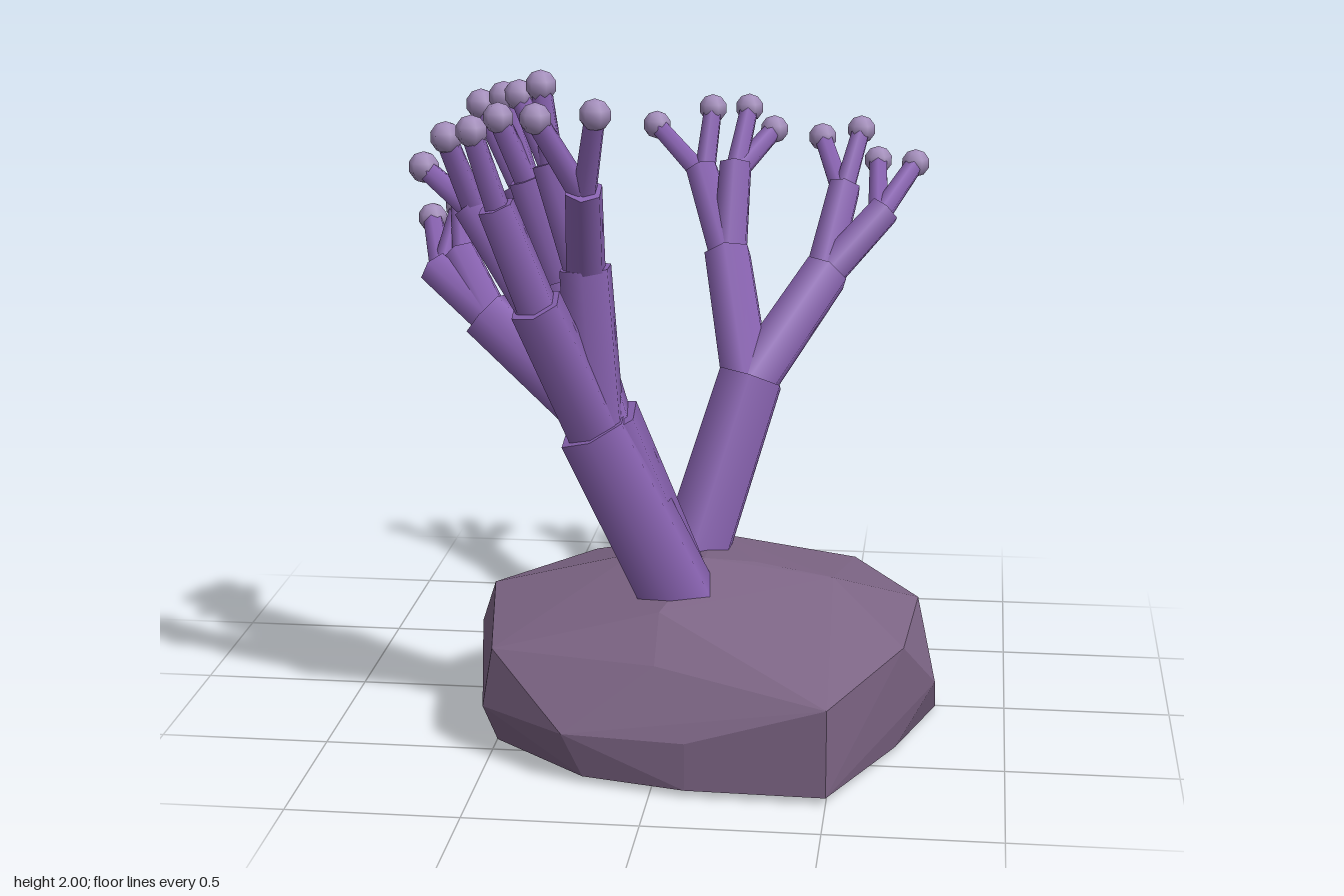
import * as THREE from 'three';
import { ConvexGeometry } from 'three/addons/geometries/ConvexGeometry.js';

const material = (name, color) => {
  const m = new THREE.MeshStandardMaterial({ color });
  m.name = name;
  return m;
};
const UP = new THREE.Vector3(0, 1, 0);
const V = (p) => new THREE.Vector3(...p);

// Limb radii [bottom, top] for each level of branching
const RADII = [[0.116, 0.11], [0.084, 0.079], [0.06, 0.055], [0.036, 0.031]];
const NAMES = ['trunk', 'branch', 'subBranch', 'twig'];

// Each node is [end point, child, child...]; a node without children is a tip.
const CORALS = [
  { name: 'backCoral', base: [0.03, 0.42, 0.07], tree: [[0.2, 0.985, -0.15],
    [[0.41, 1.26, -0.43],
      [[0.455, 1.5, -0.62], [[0.375, 1.635, -0.765]], [[0.5, 1.665, -0.745]]],
      [[0.585, 1.44, -0.55], [[0.555, 1.565, -0.76]], [[0.675, 1.56, -0.74]]]],
    [[0.1, 1.31, -0.44],
      [[0.0, 1.55, -0.61], [[-0.155, 1.675, -0.705]], [[0.025, 1.73, -0.715]]],
      [[0.11, 1.57, -0.59], [[0.14, 1.73, -0.74]], [[0.22, 1.66, -0.75]]]]] },
  { name: 'middleCoral', base: [0.02, 0.42, 0.26], tree: [[-0.175, 0.995, 0.41],
    [[-0.53, 1.28, 0.33],
      [[-0.7, 1.38, 0.2], [[-0.75, 1.49, -0.015]], [[-0.66, 1.53, 0.015]]],
      [[-0.63, 1.42, 0.18], [[-0.665, 1.585, -0.02]], [[-0.605, 1.55, 0.0]]]],
    [[-0.3, 1.38, 0.33],
      [[-0.43, 1.65, 0.28], [[-0.53, 1.86, 0.2]], [[-0.54, 1.88, 0.28]]],
      [[-0.4, 1.68, 0.35], [[-0.465, 1.91, 0.33]], [[-0.47, 1.86, 0.4]]]]] },
  { name: 'frontCoral', base: [0.05, 0.42, 0.355], tree: [[-0.2, 0.975, 0.44],
    [[-0.34, 1.365, 0.58],
      [[-0.53, 1.63, 0.51], [[-0.675, 1.725, 0.45]], [[-0.58, 1.835, 0.6]]],
      [[-0.44, 1.65, 0.62], [[-0.495, 1.865, 0.67]]]],
    [[-0.22, 1.445, 0.44],
      [[-0.2, 1.695, 0.59], [[-0.155, 1.915, 0.67]], [[-0.32, 1.9, 0.66]]],
      [[-0.32, 1.74, 0.42], [[-0.345, 1.955, 0.41]], [[-0.415, 1.92, 0.36]]]]] },
];

// Rock corners, from the foot up to the crown
const ROCK = [
  // foot
  [-0.58, 0.01, 0.06], [-0.49, 0.02, 0.47], [-0.2, 0.02, 0.72], [0.1, 0.02, 0.79], [0.5, 0.02, 0.8],
  [0.68, 0.02, 0.4], [0.5, 0.03, 0], [-0.32, 0.02, -0.35],
  // girth
  [-0.65, 0.16, -0.17], [0.07, 0.16, -0.45], [0.6, 0.17, -0.17], [0.79, 0.16, 0.22],
  [0.5, 0.28, 0.8], [0.1, 0.16, 0.79], [-0.26, 0.15, 0.73], [-0.52, 0.15, 0.54],
  // shoulder
  [-0.57, 0.36, 0.03], [-0.49, 0.33, 0.54], [0, 0.34, 0.66], [0.7, 0.34, 0.43], [0.73, 0.35, 0],
  [0.52, 0.35, -0.37], [0.05, 0.37, -0.38], [-0.3, 0.37, -0.3],
  // crown
  [0.1, 0.53, 0.24], [0.25, 0.51, 0.2], [0.48, 0.47, 0.2], [-0.13, 0.49, 0.1], [0.1, 0.49, -0.13], [0, 0.46, 0.54],
];

// Low spur sticking out of the rock's left foot
const SPUR = [[0.79, 0, 0], [0.79, 0.16, 0.22], [0.68, 0.02, 0.4], [0.6, 0.17, -0.17], [0.3, 0.05, 0.1]];

export function createModel() {
  const group = new THREE.Group();
  group.name = 'coralOnRock';
  const stone = material('rock mauve', 0x7c6484);
  stone.flatShading = true;
  const flesh = material('coral purple', 0x8862b0);
  const bud = material('tip lilac', 0xa48ebc);

  for (const [name, corners] of [['rock', ROCK], ['rockSpur', SPUR]]) {
    const rock = new THREE.Mesh(new ConvexGeometry(corners.map(V)), stone);
    rock.name = name;
    group.add(rock);
  }

  const tipGeometry = new THREE.SphereGeometry(0.045, 6, 5);

  // One limb, then everything growing out of its end
  function grow(parent, start, [end, ...children], level) {
    const a = V(start), b = V(end);
    const dir = b.clone().sub(a);
    const length = dir.length();
    const [r0, r1] = RADII[level];
    const limb = new THREE.Mesh(new THREE.CylinderGeometry(r1, r0, length, 6), flesh);
    limb.name = NAMES[level];
    limb.position.copy(a).add(b).multiplyScalar(0.5);
    limb.quaternion.setFromUnitVectors(UP, dir.divideScalar(length));
    parent.add(limb);
    if (level === 3) {
      const tip = new THREE.Mesh(tipGeometry, bud);
      tip.name = 'tip';
      tip.position.copy(b);
      parent.add(tip);
    }
    // children start a little inside the parent's end
    const root = b.clone().addScaledVector(dir, -0.03).toArray();
    children.forEach((child) => grow(parent, root, child, level + 1));
  }

  for (const { name, base, tree } of CORALS) {
    const coral = new THREE.Group();
    coral.name = name;
    grow(coral, base, tree, 0);
    group.add(coral);
  }
  return group;
}
